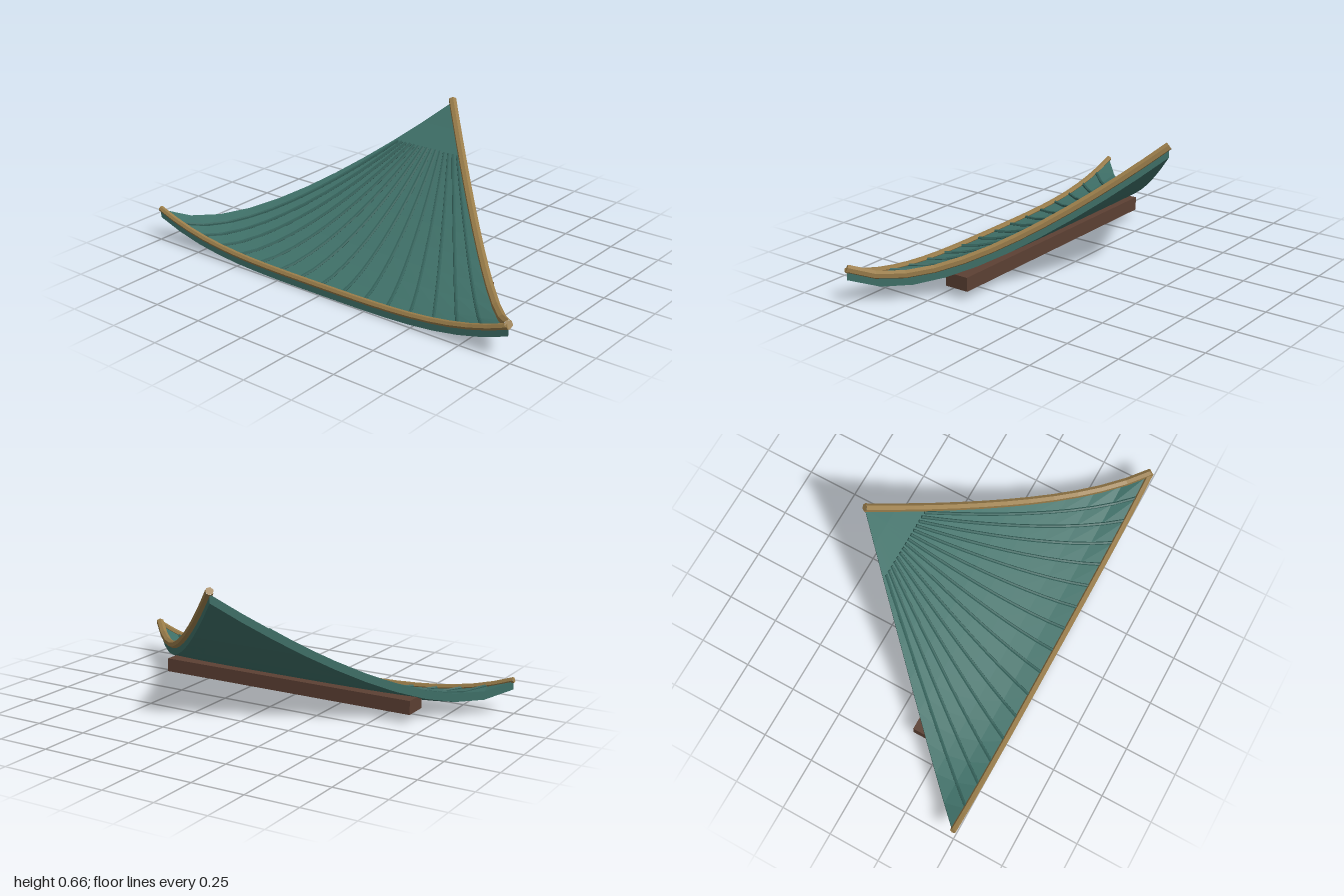
import * as THREE from 'three';
import { ParametricGeometry } from 'three/addons/geometries/ParametricGeometry.js';
import { mergeGeometries } from 'three/addons/utils/BufferGeometryUtils.js';

const HALF = 0.99, CX = -0.005, THICK = 0.04;
const COLS = 16, ROWS = 10;

// Underside point of the sagging roof: s = -1..1 across, t = 0 (peak)..1 (eave)
function roofPoint(s, t, lift, target = new THREE.Vector3()) {
  const sag = 0.005 + 0.595 * Math.pow(1 - t, 1.6);
  const upturn = 0.115 * Math.pow(Math.abs(s), 3.5) * Math.pow(t, 6);
  return target.set(CX + s * t * HALF, sag + upturn + lift, (t - 0.5) * HALF);
}

const material = (color) => new THREE.MeshStandardMaterial({ color, flatShading: true });

function addMesh(parent, name, geometry, mat) {
  const mesh = new THREE.Mesh(geometry, mat);
  mesh.name = name;
  parent.add(mesh);
  return mesh;
}

// Round bar with closed ends following fn(u), u = 0..1
function bar(fn, radius, segments, sides) {
  const curve = new THREE.Curve();
  curve.getPoint = (u, target = new THREE.Vector3()) => fn(u, target);
  const parts = [new THREE.TubeGeometry(curve, segments, radius, sides, false)];
  for (const end of [0, 1]) {
    const out = curve.getTangentAt(end).multiplyScalar(end ? 1 : -1);
    const cap = new THREE.CircleGeometry(radius, sides);
    cap.applyQuaternion(new THREE.Quaternion().setFromUnitVectors(new THREE.Vector3(0, 0, 1), out));
    const p = curve.getPointAt(end);
    parts.push(cap.translate(p.x, p.y, p.z));
  }
  return mergeGeometries(parts);
}

export function createModel() {
  const group = new THREE.Group();
  group.name = 'roofPanel';
  const tile = material(0x3f7068);
  const ribMat = material(0x34615a);
  const trim = material(0x9a7d4a);
  const wood = material(0x5c4033);

  // Curved slab: top, underside, eave face and both side faces
  const patches = [
    [(u, v, p) => roofPoint(1 - 2 * u, v, THICK, p), COLS, ROWS],
    [(u, v, p) => roofPoint(2 * u - 1, v, 0, p), COLS, ROWS],
    [(u, v, p) => roofPoint(2 * u - 1, 1, v * THICK, p), COLS, 1],
    [(u, v, p) => roofPoint(1, 1 - u, v * THICK, p), ROWS, 1],
    [(u, v, p) => roofPoint(-1, u, v * THICK, p), ROWS, 1],
  ].map(([fn, nu, nv]) => {
    const g = new ParametricGeometry(fn, nu, nv);
    g.computeVertexNormals();
    return g;
  });
  addMesh(group, 'roofSlab', mergeGeometries(patches), tile);

  // Tile ribs fanning out from below the peak to the eave
  const ribs = new THREE.Group();
  ribs.name = 'tileRibs';
  for (let i = -7; i <= 7; i++) {
    const path = (u, p) => roofPoint(i / 8, 0.2 + 0.8 * u, THICK + 0.003, p);
    addMesh(ribs, 'tileRib', bar(path, 0.008, 10, 6), ribMat);
  }
  group.add(ribs);

  // Trim along the eave and along the left hip
  addMesh(group, 'eaveTrim', bar((u, p) => roofPoint(2 * u - 1, 1, THICK + 0.006, p), 0.014, 20, 6), trim);
  addMesh(group, 'hipTrim', bar((u, p) => roofPoint(1, u, THICK + 0.014, p), 0.019, 12, 6), trim);

  // Supporting beam underneath
  const beam = addMesh(group, 'supportBeam', new THREE.BoxGeometry(1.32, 0.065, 0.12), wood);
  beam.position.set(CX, 0.082, 0.165);

  return group;
}
